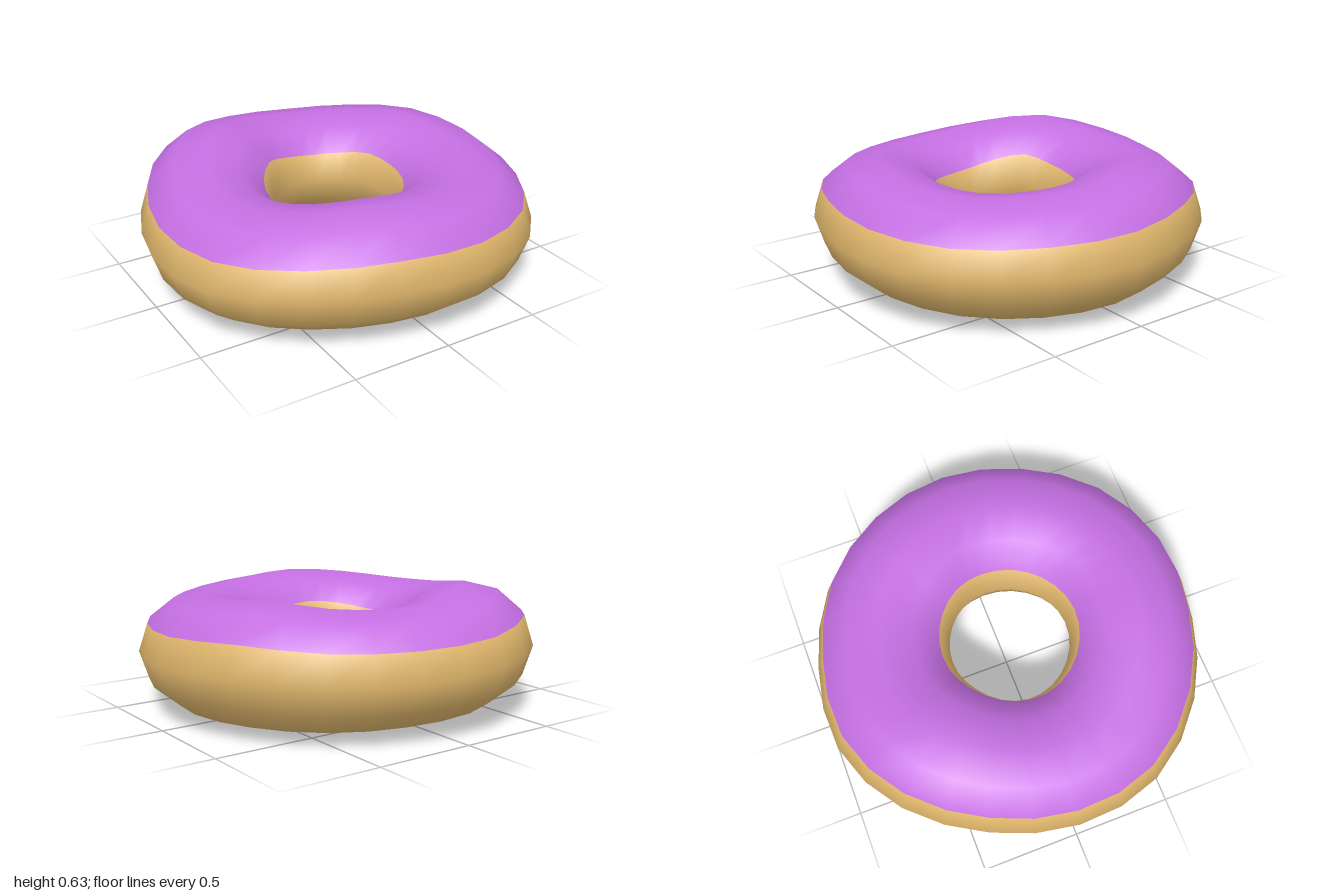
import * as THREE from 'three';

const AROUND = 28; // segments around the ring
const SIDES = 12;  // sides of the dough's cross-section

// Hand-shaped unevenness: [outer radius, crest height, underside height], evenly spaced from +x towards +z
const lumps = [
  [1.0, 0.585, 0.01], [1.0, 0.57, 0.01], [1.017, 0.56, 0.02], [1.004, 0.575, 0.03],
  [0.977, 0.595, 0.03], [0.998, 0.575, 0.03], [1.024, 0.55, 0.01], [1.0, 0.56, 0.0],
  [0.98, 0.6, 0.02], [1.0, 0.635, 0.04], [1.008, 0.595, 0.035], [0.973, 0.575, 0.025],
  [0.986, 0.585, 0.02], [0.985, 0.61, 0.015],
];

// Lumpy ring surface shared by dough and icing
function ringSurface() {
  const shape = new THREE.CatmullRomCurve3(
    lumps.map((l) => new THREE.Vector3(...l)), true, 'catmullrom');
  const positions = [];
  const index = [];
  for (let i = 0; i < AROUND; i++) {
    const { x: outer, y: top, z: bottom } = shape.getPoint(i / AROUND);
    const a = (i / AROUND) * Math.PI * 2;
    const inner = 0.31 + 0.015 * Math.sin(a) - 0.005 * Math.cos(a);
    for (let j = 0; j < SIDES; j++) {
      const t = (j / SIDES) * Math.PI * 2;
      const r = (outer + inner) / 2 + ((outer - inner) / 2) * Math.cos(t);
      const y = (top + bottom) / 2 + ((top - bottom) / 2) * Math.sin(t);
      positions.push(r * Math.cos(a), y, r * Math.sin(a));
    }
  }
  const at = (i, j) => (i % AROUND) * SIDES + (j % SIDES);
  for (let j = 0; j < SIDES; j++) {
    for (let i = 0; i < AROUND; i++) {
      index.push(at(i, j), at(i, j + 1), at(i + 1, j));
      index.push(at(i + 1, j), at(i, j + 1), at(i + 1, j + 1));
    }
  }
  const geometry = new THREE.BufferGeometry();
  geometry.setAttribute('position', new THREE.Float32BufferAttribute(positions, 3));
  geometry.setIndex(index);
  geometry.computeVertexNormals();
  return geometry;
}

// Mesh made of the chosen bands of the cross-section, keeping the smooth normals
function bandMesh(name, surface, color, includesBand) {
  const all = Array.from(surface.index.array);
  const geometry = surface.clone();
  geometry.setIndex(all.filter((_, k) => includesBand(Math.floor(k / (AROUND * 6)))));
  const mesh = new THREE.Mesh(
    geometry.toNonIndexed(), new THREE.MeshStandardMaterial({ color }));
  mesh.name = name;
  return mesh;
}

export function createModel() {
  const group = new THREE.Group();
  group.name = 'doughnut';
  const surface = ringSurface();
  const isIced = (band) => band >= 1 && band <= 4;
  group.add(
    bandMesh('dough', surface, 0xdeb56b, (band) => !isIced(band)),
    bandMesh('icing', surface, 0xc46fe2, isIced),
  );
  return group;
}
